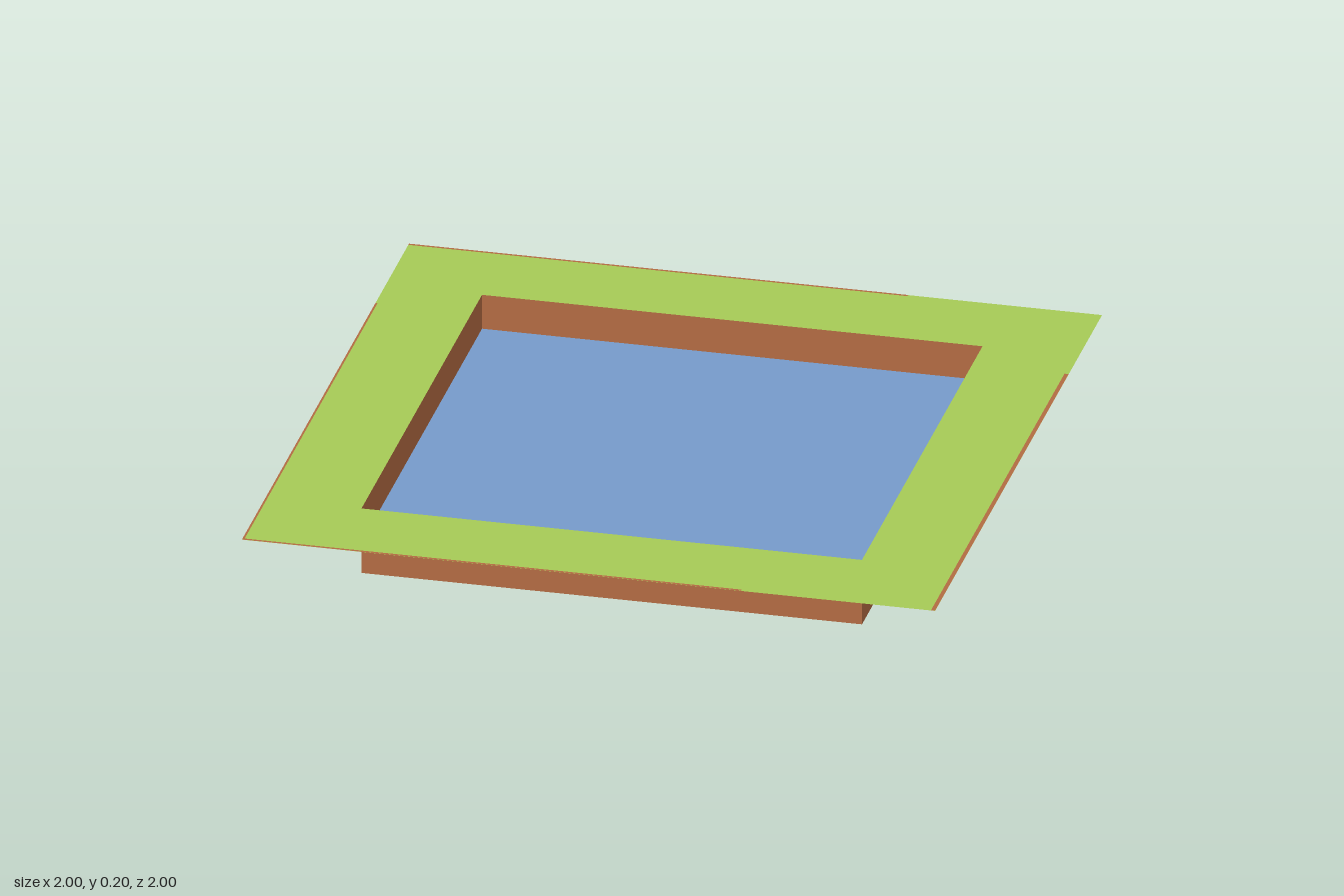
import * as THREE from 'three';

const HALF = 1, POOL = 0.722, TOP = 0.2, WATER = 0.095;

function material(name, color) {
  const m = new THREE.MeshStandardMaterial({ color, side: THREE.DoubleSide });
  m.name = name;
  return m;
}

export function createModel() {
  const group = new THREE.Group();
  group.name = 'pondTile';
  const grass = material('grass green', 0xa6ca56);
  const earth = material('earth brown', 0xb26b42);
  const blue = material('water blue', 0x769aca);

  function add(name, geometry, mat, x = 0, y = 0, z = 0) {
    const mesh = new THREE.Mesh(geometry, mat);
    mesh.name = name;
    mesh.position.set(x, y, z);
    group.add(mesh);
    return mesh;
  }
  // horizontal sheet facing up
  const sheet = (w, d) => new THREE.PlaneGeometry(w, d).rotateX(-Math.PI / 2);

  // flat grass surround with a square opening
  const square = (Type, r) => new Type([[-r, -r], [r, -r], [r, r], [-r, r]].map(p => new THREE.Vector2(...p)));
  const rim = square(THREE.Shape, HALF);
  rim.holes.push(square(THREE.Path, POOL));
  add('grassRim', new THREE.ShapeGeometry(rim).rotateX(-Math.PI / 2), grass, 0, TOP);

  // four thin earth walls around the basin
  for (let i = 0; i < 4; i++) {
    const wall = new THREE.PlaneGeometry(2 * POOL, TOP).translate(0, TOP / 2, POOL).rotateY(i * Math.PI / 2);
    add('basinWall', wall, earth);
  }

  // basin floor (facing down) and water surface
  add('basinFloor', new THREE.PlaneGeometry(2 * POOL, 2 * POOL).rotateX(Math.PI / 2), earth);
  add('water', sheet(2 * POOL, 2 * POOL), blue, 0, WATER);

  // slivers of bare earth along the outer edges
  const y = TOP + 0.0005;
  for (const s of [-1, 1]) {
    add('earthEdge', sheet(1.44, 0.008), earth, -0.28, y, s * 0.996);
    const w = s > 0 ? 0.012 : 0.006;
    add('earthEdge', sheet(w, 1.6), earth, s * (HALF - w / 2), y, 0.2);
  }
  return group;
}
